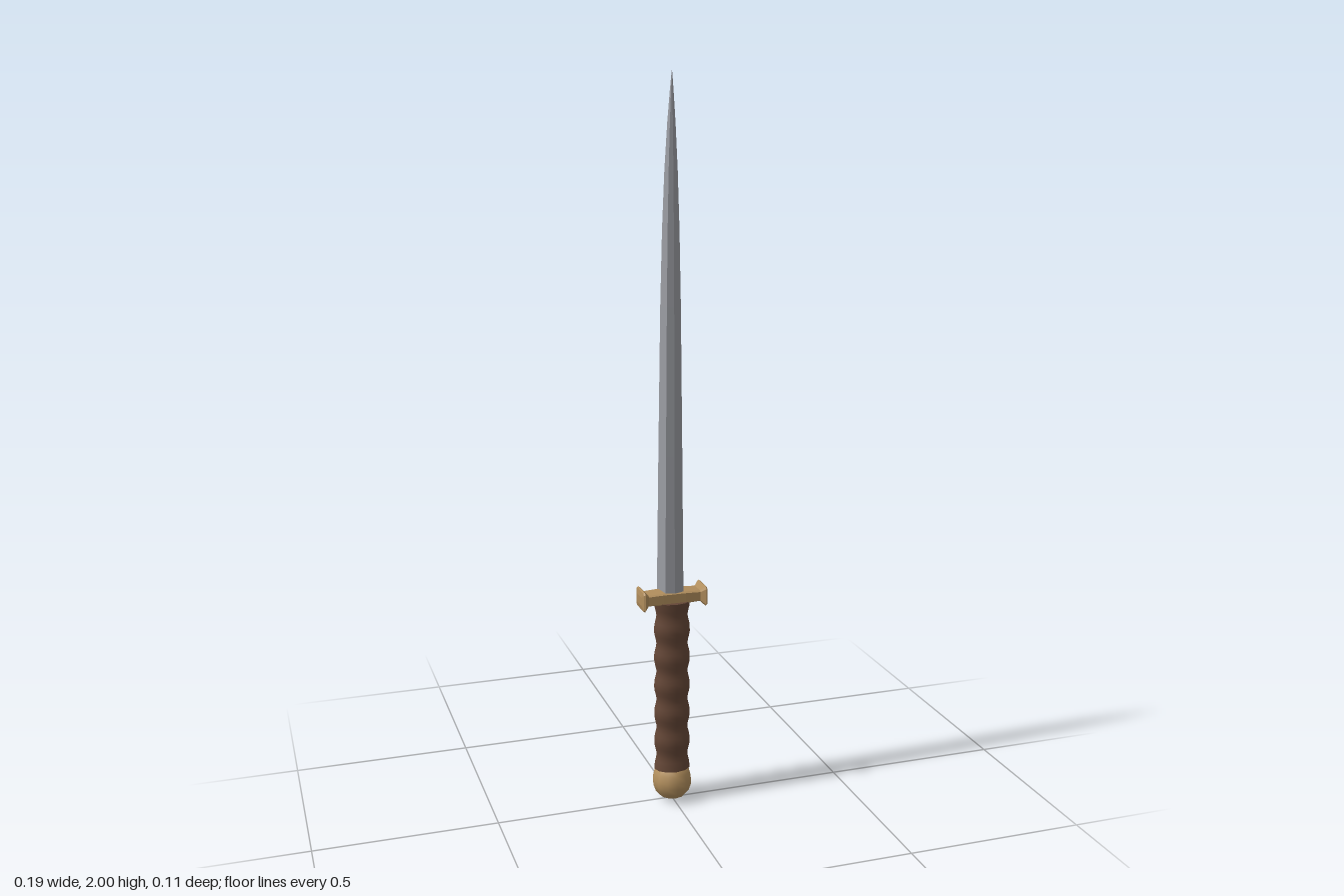
import * as THREE from 'three';
import { toCreasedNormals } from 'three/addons/utils/BufferGeometryUtils.js';

const brass = new THREE.MeshStandardMaterial({ color: 0xb08d5c });
const brassFlat = new THREE.MeshStandardMaterial({ color: 0xb08d5c, flatShading: true });
const leather = new THREE.MeshStandardMaterial({ color: 0x644636 });
const steel = new THREE.MeshStandardMaterial({ color: 0x9a9ca2, flatShading: true });

// Skin a row of equal-length rings and close both ends
function loft(rings) {
  const n = rings[0].length;
  const index = [];
  for (let r = 0; r < rings.length - 1; r++) {
    for (let i = 0; i < n; i++) {
      const a = r * n + i, b = r * n + (i + 1) % n;
      index.push(a, b, b + n, a, b + n, a + n);
    }
  }
  const last = (rings.length - 1) * n;
  for (let i = 1; i < n - 1; i++) {
    index.push(0, i + 1, i, last, last + i, last + i + 1);
  }
  const geometry = new THREE.BufferGeometry();
  geometry.setAttribute('position', new THREE.Float32BufferAttribute(rings.flat(2), 3));
  geometry.setIndex(index);
  geometry.computeVertexNormals();
  return geometry;
}

// Turned part with crisp rims
function turned(profile, sides, phase = 0) {
  const points = profile.map(([r, y]) => new THREE.Vector2(r, y));
  return toCreasedNormals(new THREE.LatheGeometry(points, sides, phase), 0.75);
}

export function createModel() {
  const group = new THREE.Group();
  const add = (name, geometry, material) => {
    const mesh = new THREE.Mesh(geometry, material);
    mesh.name = name;
    group.add(mesh);
    return mesh;
  };

  // Six-sided blade, broader at the back, tapering to a point
  const section = [[0.026, 0.022], [0.034, -0.03], [0, -0.036], [-0.034, -0.03], [-0.026, 0.022], [0, 0.026]];
  const taper = [[0.6, 1], [1.0, 0.88], [1.4, 0.74], [1.6, 0.62], [1.75, 0.47], [1.87, 0.29], [1.95, 0.13], [2, 0.01]];
  add('blade', loft(taper.map(([y, s]) => section.map(([x, z]) => [x * s, y, z * s]))), steel);

  // Chamfered crossguard with flared ends
  const octagon = [[1, 0.8], [0.8, 1], [-0.8, 1], [-1, 0.8], [-1, -0.8], [-0.8, -1], [0.8, -1], [1, -0.8]];
  const half = [[0.032, 0.017, 0.028], [0.074, 0.015, 0.027], [0.087, 0.028, 0.039], [0.091, 0.026, 0.036], [0.094, 0.012, 0.018]];
  const stations = [...half.map(([x, h, w]) => [-x, h, w]).reverse(), ...half];
  add('crossguard', loft(stations.map(([x, h, w]) => octagon.map(([y, z]) => [x, 0.602 + y * h, z * w]))), brassFlat);

  // Oval grip with five swells
  const grip = [[0, 0.095]];
  const steps = 40;
  for (let i = 0; i <= steps; i++) {
    const t = i / steps;
    grip.push([0.0485 + 0.0035 * Math.cos(t * Math.PI * 2 * 6), 0.095 + t * 0.495]);
  }
  grip.push([0, 0.59]);
  add('grip', turned(grip, 12), leather).scale.z = 0.82;

  // Rounded pommel with a flat underside
  add('pommel', turned([[0, 0.012], [0.036, 0.012], [0.048, 0.026], [0.055, 0.046], [0.055, 0.062],
    [0.05, 0.082], [0.04, 0.097], [0.03, 0.105], [0, 0.105]], 12), brass);

  // Peened button under the pommel
  add('pommelButton', turned([[0, 0], [0.012, 0.002], [0.034, 0.012], [0, 0.014]], 12), leather);

  return group;
}
